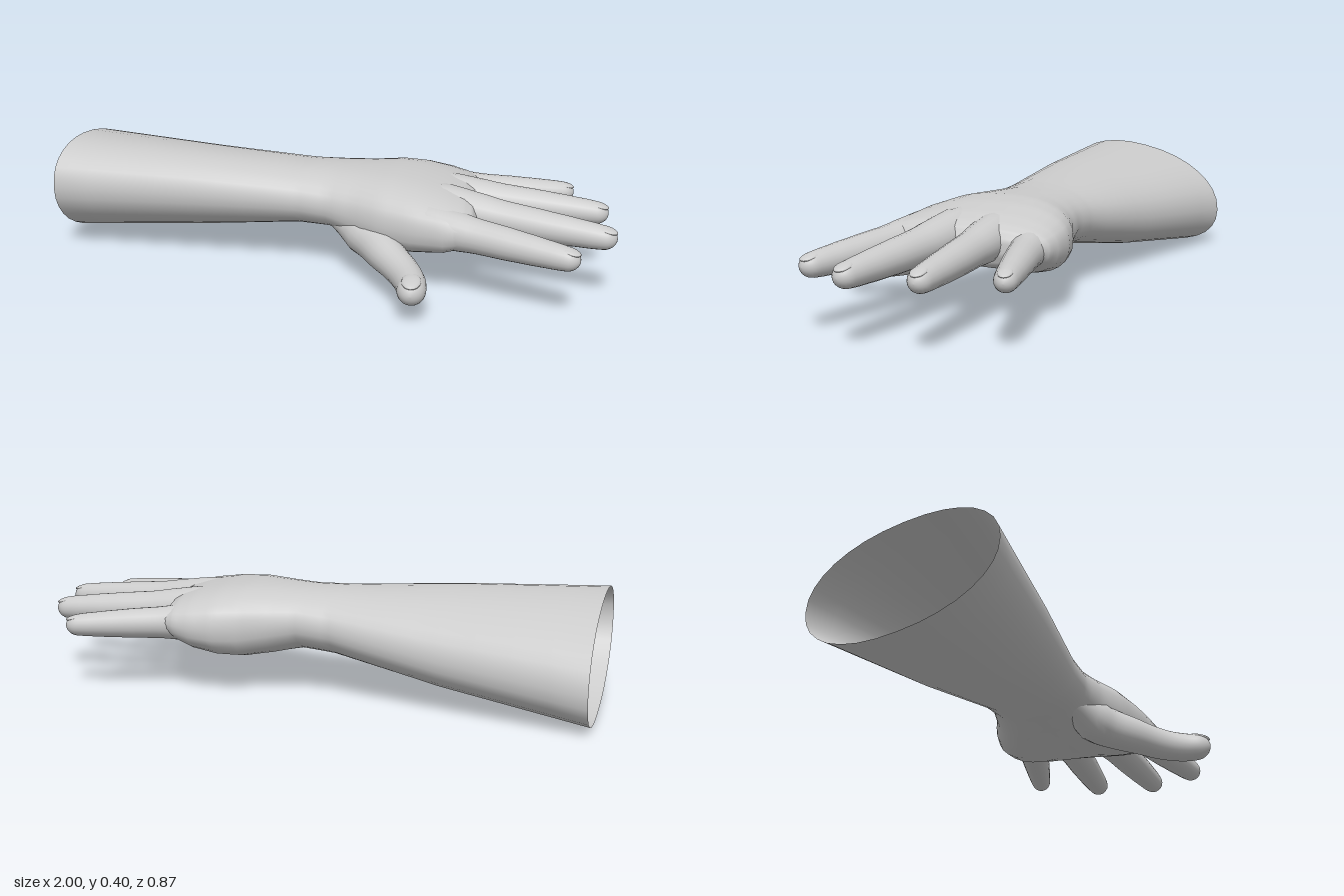
import * as THREE from 'three';

const SIDES = 32;
const skin = new THREE.MeshStandardMaterial({ color: 0xcccccc, side: THREE.DoubleSide });

// Joins a list of closed rings (arrays of Vector3) into one smooth surface
function loft(name, rings) {
  const n = rings[0].length;
  const index = [];
  for (let i = 0; i < rings.length - 1; i++) {
    for (let j = 0; j < n; j++) {
      const a = i * n + j, b = i * n + (j + 1) % n;
      index.push(a, a + n, b, b, a + n, b + n);
    }
  }
  const geometry = new THREE.BufferGeometry().setFromPoints(rings.flat());
  geometry.setIndex(index);
  geometry.computeVertexNormals();
  const mesh = new THREE.Mesh(geometry, skin);
  mesh.name = name;
  return mesh;
}

// Smooth interpolation through a list of numbers, t from 0 to 1
function sample(values, t) {
  const f = t * (values.length - 1);
  const i = Math.min(Math.floor(f), values.length - 2);
  const s = THREE.MathUtils.smoothstep(f - i, 0, 1) * 0.4 + (f - i) * 0.6;
  return THREE.MathUtils.lerp(values[i], values[i + 1], s);
}

const power = (v, p) => Math.sign(v) * Math.pow(Math.abs(v), p);

// Forearm, wrist and palm: x, z min, z max, bottom, top, shear, palm hollow
const STATIONS = [
  [-1.0, -0.43, 0.21, 0.01, 0.382, 0.06, 0],
  [-0.5, -0.34, 0.15, 0.075, 0.37, 0.04, 0],
  [-0.12, -0.278, 0.1, 0.137, 0.358, 0.01, 0],
  [0.0, -0.278, 0.1, 0.143, 0.358, 0, 0.005],
  [0.1, -0.302, 0.125, 0.118, 0.362, 0, 0.025],
  [0.2, -0.345, 0.165, 0.102, 0.366, 0, 0.05],
  [0.3, -0.37, 0.19, 0.108, 0.358, 0, 0.055],
  [0.4, -0.378, 0.205, 0.13, 0.34, 0, 0.035],
  [0.46, -0.374, 0.205, 0.16, 0.322, 0, 0.015],
  [0.49, -0.36, 0.192, 0.185, 0.305, 0, 0],
  [0.505, -0.33, 0.165, 0.22, 0.275, 0, 0],
  [0.508, -0.1, -0.06, 0.245, 0.25, 0, 0],
];

function bodyRing([x, z0, z1, bottom, top, shear, hollow]) {
  const ring = [];
  const skewRamp = THREE.MathUtils.smoothstep(x, 0.1, 0.45) * 0.17;
  const p = THREE.MathUtils.lerp(0.92, 0.78, THREE.MathUtils.smoothstep(x, -0.1, 0.3));
  for (let j = 0; j < SIDES; j++) {
    const a = (j / SIDES) * Math.PI * 2;
    const u = power(Math.cos(a), p), v = power(Math.sin(a), p);
    const z = (z0 + z1) / 2 + u * (z1 - z0) / 2;
    let y = (bottom + top) / 2 + v * (top - bottom) / 2 + shear * u;
    if (v < 0) y += hollow * -v * Math.exp(-((u / 0.45) ** 2));
    ring.push(new THREE.Vector3(x + skewRamp * (z + 0.08), y, z));
  }
  return ring;
}

// Subdivides the stations with a monotone blend so the arm stays taut
function bodyRings() {
  const rings = [];
  for (let i = 0; i < STATIONS.length - 1; i++) {
    for (let k = 0; k < 4; k++) {
      rings.push(bodyRing(STATIONS[i].map((v, c) => THREE.MathUtils.lerp(v, STATIONS[i + 1][c], k / 4))));
    }
  }
  rings.push(bodyRing(STATIONS[STATIONS.length - 1]));
  return rings;
}

// A finger swept along a path, with a rounded tip and a nail
function finger(name, path, radii, nailTilt) {
  const group = new THREE.Group();
  group.name = name;
  const curve = new THREE.CatmullRomCurve3(path.map((p) => new THREE.Vector3(...p)));
  const length = curve.getLength();
  const tipRadius = radii[radii.length - 1];
  const up = new THREE.Vector3(0, 1, 0);
  const frame = (t) => {
    const dir = curve.getTangentAt(t);
    const side = new THREE.Vector3().crossVectors(dir, up).normalize();
    return { centre: curve.getPointAt(t), dir, side, top: new THREE.Vector3().crossVectors(side, dir) };
  };
  const rings = [];
  const steps = 28;
  for (let i = 0; i <= steps; i++) {
    const t = 1 - (1 - i / steps) ** 2;
    const { centre, side, top } = frame(t);
    const intoTip = Math.max(0, 1 - (1 - t) * length / (tipRadius * 1.1));
    const r = sample(radii, t) * Math.sqrt(Math.max(1 - intoTip * intoTip, 1e-6));
    rings.push(Array.from({ length: 20 }, (_, j) => {
      const a = (j / 20) * Math.PI * 2;
      return centre.clone().addScaledVector(side, Math.cos(a) * r).addScaledVector(top, Math.sin(a) * r);
    }));
  }
  group.add(loft(name + 'Flesh', rings));

  // Thin oval nail lying on the upper side of the tip
  const { centre, dir, side, top } = frame(1 - tipRadius * 1.1 / length);
  const nail = new THREE.Mesh(new THREE.SphereGeometry(1, 16, 10), skin);
  nail.name = name + 'Nail';
  nail.scale.set(tipRadius * 1.0, tipRadius * 0.25, tipRadius * 0.72);
  nail.quaternion.setFromRotationMatrix(new THREE.Matrix4().makeBasis(dir, top, side));
  nail.rotateZ(nailTilt);
  nail.position.copy(centre).addScaledVector(top, tipRadius * 0.8).addScaledVector(dir, tipRadius * 0.1);
  group.add(nail);
  return group;
}

export function createModel() {
  const model = new THREE.Group();
  model.name = 'forearmAndHand';
  model.add(loft('forearmAndPalm', bodyRings()));

  // Four fingers: start, middle and tip of each path, with a size factor
  const fingers = [
    ['indexFinger', [0.3, 0.25, 0.1], [0.6, 0.235, 0.162], [0.905, 0.222, 0.23], 1],
    ['middleFinger', [0.32, 0.275, -0.025], [0.65, 0.25, 0.003], [1.0, 0.232, 0.031], 1.02],
    ['ringFinger', [0.3, 0.27, -0.145], [0.62, 0.25, -0.175], [0.945, 0.232, -0.2], 1],
    ['littleFinger', [0.25, 0.245, -0.25], [0.52, 0.235, -0.325], [0.795, 0.224, -0.41], 0.92],
  ];
  const fingerRadii = [0.07, 0.075, 0.068, 0.059, 0.056, 0.051, 0.045, 0.036];
  for (const [name, start, middle, tip, size] of fingers) {
    model.add(finger(name, [start, middle, tip], fingerRadii.map((r) => r * size), -0.2));
  }

  // Thumb, growing out of the fleshy base of the palm
  model.add(finger('thumb', [
    [0.03, 0.205, 0.03], [0.15, 0.165, 0.08], [0.25, 0.14, 0.18],
    [0.335, 0.122, 0.272], [0.378, 0.116, 0.35], [0.395, 0.116, 0.433],
  ], [0.045, 0.076, 0.068, 0.058, 0.053, 0.045], -0.2));
  return model;
}
